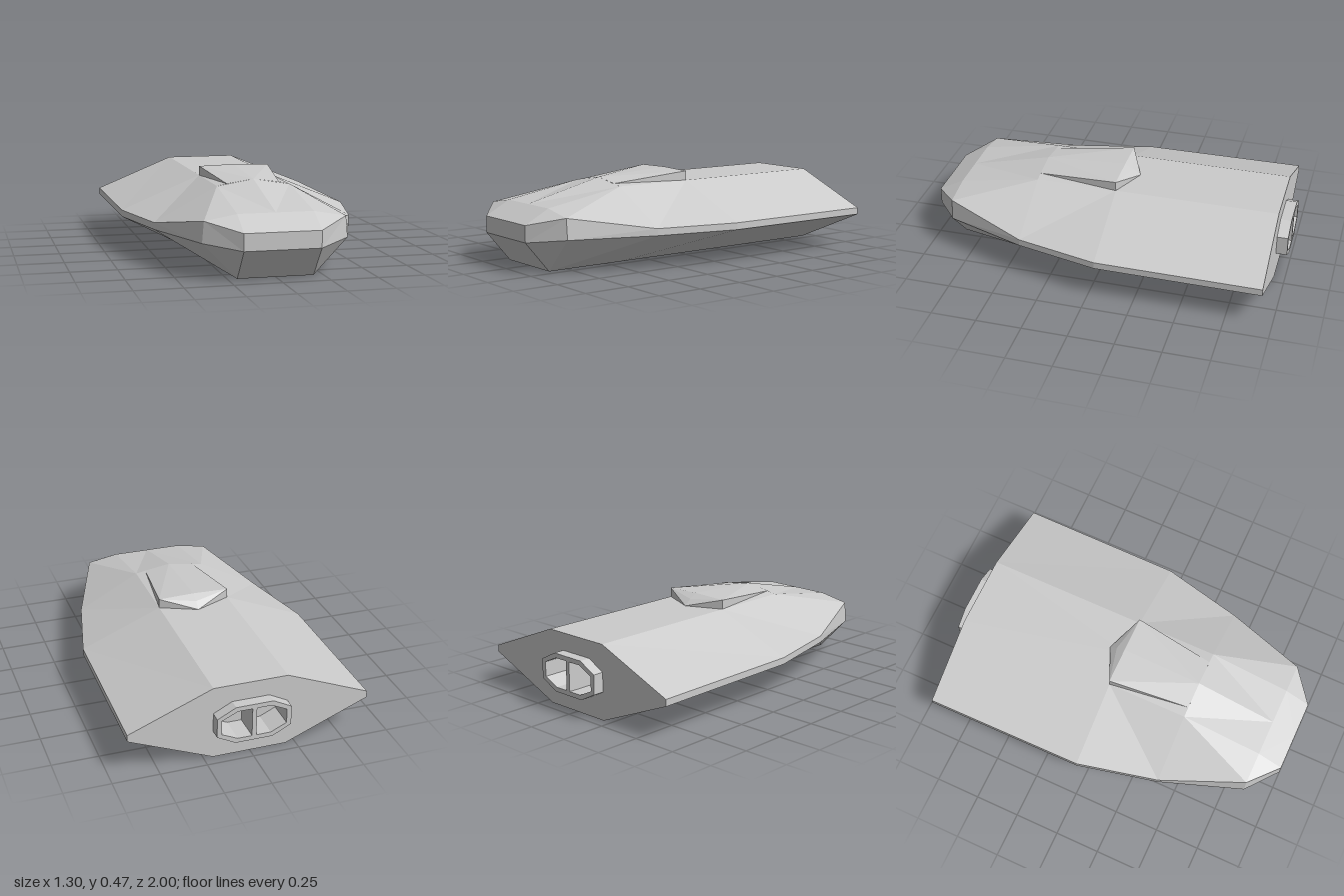
import * as THREE from 'three';

const material = new THREE.MeshStandardMaterial({ color: 0xcccccc, flatShading: true });

// Unshared triangles keep every facet flat
function facets(name, triangles) {
  const geometry = new THREE.BufferGeometry();
  geometry.setAttribute('position', new THREE.Float32BufferAttribute(triangles.flat(2), 3));
  geometry.computeVertexNormals();
  const mesh = new THREE.Mesh(geometry, material);
  mesh.name = name;
  return mesh;
}

// Cross-section: bottom corner, lower and upper side edges, shoulder, ridge, then mirrored
function ring(z, bottom, lowW, lowY, upW, upY, shoulder, ridge) {
  const half = [[0.2, bottom, z], [lowW, lowY, z], [upW, upY, z], [0.2, shoulder, z]];
  const mirrored = half.map(([x, y]) => [-x, y, z]).reverse();
  return [...half, [0, ridge, z], ...mirrored];
}

function octagon(PathType, cx, halfW, halfH, cutX, cutY, cy = 0.207) {
  const p = [[halfW, halfH - cutY], [halfW - cutX, halfH], [cutX - halfW, halfH], [-halfW, halfH - cutY],
    [-halfW, cutY - halfH], [cutX - halfW, -halfH], [halfW - cutX, -halfH], [halfW, cutY - halfH]];
  return new PathType(p.map(([x, y]) => new THREE.Vector2(cx + x, cy + y)));
}

export function createModel() {
  const model = new THREE.Group();

  // Hull stations from nose to stern; the doubled one makes the step in front of the canopy
  const rings = [
    ring(1, 0.165, 0.2, 0.165, 0.2, 0.255, 0.255, 0.255),
    ring(0.86, 0, 0.38, 0.188, 0.37, 0.3, 0.33, 0.33),
    ring(0.41, 0, 0.54, 0.188, 0.54, 0.225, 0.408, 0.44),
    ring(0.41, 0, 0.54, 0.188, 0.54, 0.225, 0.408, 0.408),
    ring(-0.04, 0, 0.643, 0.188, 0.643, 0.225, 0.408, 0.408),
    ring(-0.94, 0, 0.65, 0.188, 0.65, 0.225, 0.408, 0.408),
  ];
  const same = (p, q) => p.every((v, k) => v === q[k]);
  const skin = [];
  const add = (...t) => {
    if (!same(t[0], t[1]) && !same(t[1], t[2]) && !same(t[0], t[2])) skin.push(t);
  };
  for (let i = 0; i < rings.length - 1; i++) {
    for (let j = 0; j < 9; j++) {
      const k = (j + 1) % 9;
      const a = rings[i][j], b = rings[i][k], c = rings[i + 1][k], d = rings[i + 1][j];
      if (j < 3 || j === 4) {
        add(a, d, c);
        add(a, c, b);
      } else {
        add(a, d, b);
        add(d, c, b);
      }
    }
  }
  // Blunt nose plate
  for (let j = 1; j < 8; j++) add(rings[0][0], rings[0][j], rings[0][j + 1]);
  model.add(facets('hull', skin));

  // Stern plate with an opening for the exhaust
  const sternShape = new THREE.Shape(rings[5].map(([x, y]) => new THREE.Vector2(x, y)));
  sternShape.holes.push(octagon(THREE.Path, 0, 0.195, 0.1, 0.095, 0.05));
  const stern = new THREE.Mesh(new THREE.ShapeGeometry(sternShape), material);
  stern.name = 'sternPlate';
  stern.rotation.y = Math.PI;
  stern.position.z = -0.94;
  model.add(stern);

  // Exhaust frame with two recessed ducts and a central divider
  const exhaustShape = octagon(THREE.Shape, 0, 0.2, 0.105, 0.1, 0.052);
  for (const s of [1, -1]) {
    const duct = [[0.012, -0.08], [0.09, -0.08], [0.175, -0.04], [0.175, 0.04], [0.09, 0.08], [0.012, 0.08]];
    exhaustShape.holes.push(new THREE.Path(duct.map(([x, y]) => new THREE.Vector2(s * x, 0.207 + y))));
  }
  const exhaust = new THREE.Mesh(
    new THREE.ExtrudeGeometry(exhaustShape, { depth: 0.16, bevelEnabled: false }), material);
  exhaust.name = 'exhaustFrame';
  exhaust.position.z = -1;
  model.add(exhaust);

  const floor = new THREE.Mesh(
    new THREE.ShapeGeometry(octagon(THREE.Shape, 0, 0.195, 0.1, 0.095, 0.05)), material);
  floor.name = 'exhaustFloor';
  floor.rotation.y = Math.PI;
  floor.position.z = -0.845;
  model.add(floor);

  // Canopy: half described, then mirrored
  const front = [0, 0.44, 0.41], frontSide = [0.145, 0.418, 0.41];
  const rear = [0, 0.465, -0.04], rearSide = [0.2, 0.46, -0.04];
  const tail = [0, 0.44, -0.088], tailBase = [0, 0.408, -0.13];
  const baseFront = [0.2, 0.408, 0.41], baseRear = [0.2, 0.408, -0.04];
  const half = [
    [front, frontSide, rearSide], [front, rearSide, rear],
    [rear, rearSide, tail],
    [rearSide, baseRear, tailBase], [rearSide, tailBase, tail],
    [frontSide, baseFront, baseRear], [frontSide, baseRear, rearSide],
  ];
  const otherHalf = half.map((t) => t.map(([x, y, z]) => [-x, y, z]).reverse());
  model.add(facets('canopy', [...half, ...otherHalf]));

  return model;
}
